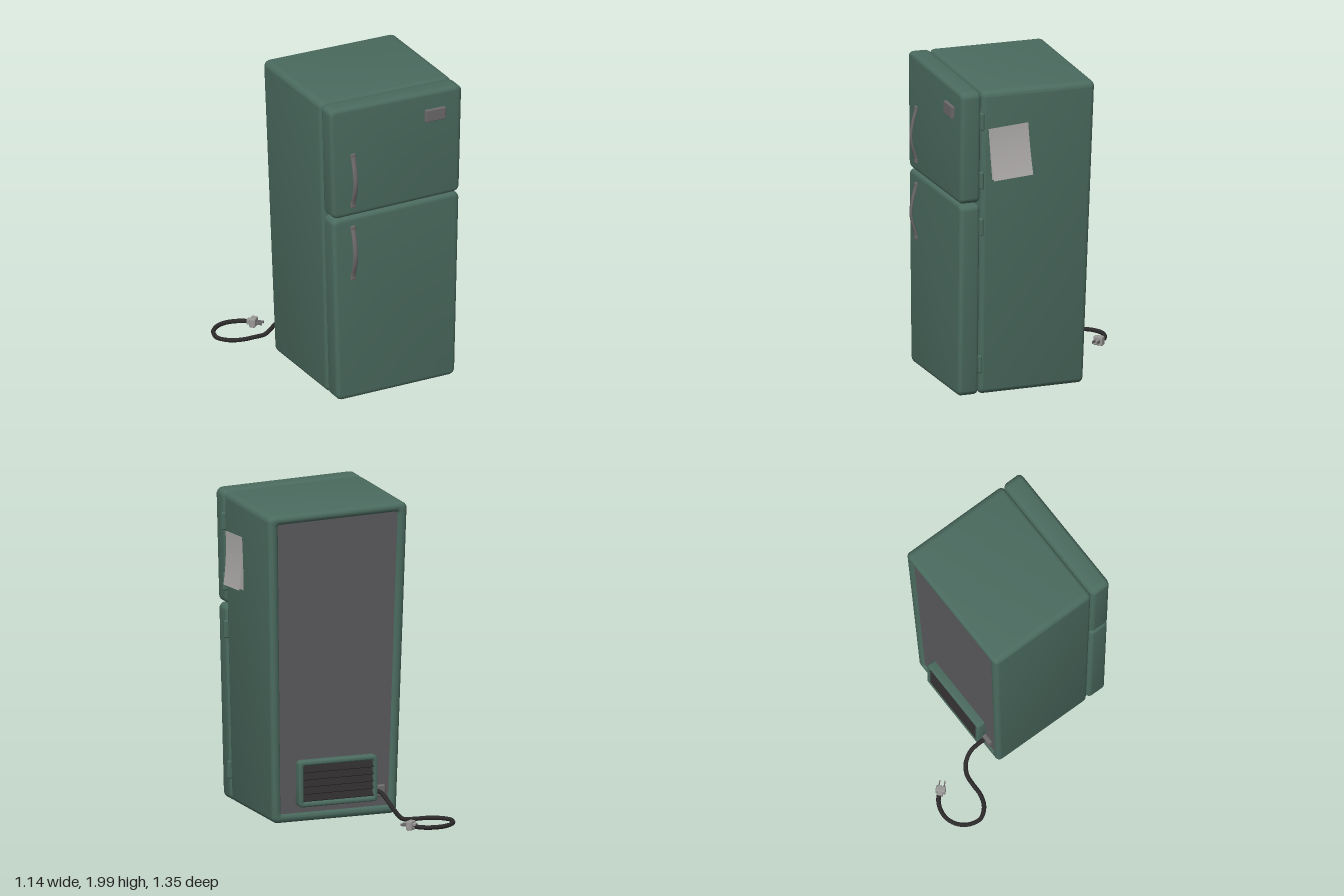
import * as THREE from 'three';
import { toCreasedNormals } from 'three/addons/utils/BufferGeometryUtils.js';
import { RoundedBoxGeometry } from 'three/addons/geometries/RoundedBoxGeometry.js';

const V = (x, y, z) => new THREE.Vector3(x, y, z);
const mat = (name, color, side = THREE.FrontSide) => {
  const m = new THREE.MeshStandardMaterial({ color, side });
  m.name = name;
  return m;
};

// Rounded rectangle path
function roundRect(path, x0, y0, x1, y1, r) {
  path.moveTo(x0 + r, y0);
  path.lineTo(x1 - r, y0);
  path.absarc(x1 - r, y0 + r, r, -Math.PI / 2, 0);
  path.lineTo(x1, y1 - r);
  path.absarc(x1 - r, y1 - r, r, 0, Math.PI / 2);
  path.lineTo(x0 + r, y1);
  path.absarc(x0 + r, y1 - r, r, Math.PI / 2, Math.PI);
  path.lineTo(x0, y0 + r);
  path.absarc(x0 + r, y0 + r, r, Math.PI, Math.PI * 1.5);
  return path;
}

// Soft-edged slab between z0 and z1, with an optional window cut through it
function slab(x0, y0, x1, y1, z0, z1, bevel, radius, inset = 0) {
  const shape = roundRect(new THREE.Shape(), x0, y0, x1, y1, radius);
  if (inset) {
    shape.holes.push(roundRect(new THREE.Path(), x0 + inset, y0 + inset, x1 - inset, y1 - inset, 0.008));
  }
  const geo = new THREE.ExtrudeGeometry(shape, {
    depth: z1 - z0 - 2 * bevel, bevelThickness: bevel, bevelSize: bevel,
    bevelOffset: -bevel, bevelSegments: 4, curveSegments: 4,
  });
  return geo.translate(0, 0, z0 + bevel);
}

// Lopsided cabinet: wider and deeper toward the top, with a sloping roof
function warp(geo) {
  const p = geo.attributes.position;
  for (let i = 0; i < p.count; i++) {
    const x = p.getX(i), y = p.getY(i), z = p.getZ(i);
    const t = (y - 0.02) / 1.98;
    const roof = Math.max(0, (y - 1.25) / 0.75);
    const u = x / 0.41;
    const back = Math.max(0, 0.49 - z);
    p.setXYZ(i, 0.08 + x + u * 0.05 * t,
      y - roof * (0.0125 * (u + 1) + 0.015 * (0.63 - z) / 0.88),
      z - back * 0.088 * t);
  }
  return geo;
}

export function createModel() {
  const group = new THREE.Group();
  const green = mat('green enamel', 0x4b6b5f);
  const grey = mat('back panel grey', 0x5c5b5e);
  const metal = mat('handle metal', 0x6d6a6b);
  const silver = mat('plug silver', 0x9a9797);
  const paper = mat('paper', 0xb2aeae, THREE.DoubleSide);
  const rubber = mat('black rubber', 0x2d2a2b);
  const dark = mat('vent shadow', 0x191819);

  const add = (name, geo, material, parent = group) => {
    const mesh = new THREE.Mesh(geo, material);
    mesh.name = name;
    parent.add(mesh);
    return mesh;
  };
  const smooth = (geo) => toCreasedNormals(geo, 0.5);

  // Cabinet shell with an open back, recessed panel and door seal
  add('cabinet', smooth(warp(slab(-0.41, 0.02, 0.41, 2, -0.19, 0.492, 0.028, 0.04, 0.06))), green);
  const panel = new THREE.BoxGeometry(0.74, 1.9, 0.02).translate(0, 1.01, -0.165);
  add('backPanel', smooth(warp(panel)), grey);
  const seal = new THREE.BoxGeometry(0.77, 1.93, 0.1).translate(0, 1.01, 0.47);
  add('doorSeal', smooth(warp(seal)), green);

  // Doors
  add('freezerDoor', smooth(warp(slab(-0.41, 1.258, 0.41, 2, 0.498, 0.63, 0.026, 0.04))), green);
  add('fridgeDoor', smooth(warp(slab(-0.41, 0.02, 0.41, 1.252, 0.498, 0.63, 0.026, 0.04))), green);

  // Bowed handles
  for (const [name, y] of [['freezerHandle', 1.5], ['fridgeHandle', 1.01]]) {
    const curve = new THREE.CatmullRomCurve3([
      V(0, 0.18, 0.628), V(0, 0.15, 0.637), V(0, 0.08, 0.656), V(0, 0, 0.667),
      V(0, -0.07, 0.659), V(0, -0.14, 0.638), V(0, -0.18, 0.63)]);
    const geo = new THREE.TubeGeometry(curve, 20, 0.008, 10);
    add(name, geo.scale(2.1, 1, 1), metal).position.set(-0.225, y, 0);
    for (const s of [1, -1]) {
      const foot = new RoundedBoxGeometry(0.034, 0.03, 0.018, 2, 0.006);
      add(name + 'Foot', foot, metal).position.set(-0.225, y + s * 0.168, 0.632);
    }
  }

  // Badge plate on the freezer door
  const badge = add('badge', new RoundedBoxGeometry(0.14, 0.08, 0.025, 2, 0.006), metal);
  badge.position.set(0.345, 1.823, 0.636);
  badge.rotation.z = -0.03;

  // Hinge barrels down the left side
  for (const y of [1.785, 1.405, 1.105, 0.22]) {
    const x = 0.492 + 0.05 * (y - 0.02) / 1.98;
    add('hinge', new RoundedBoxGeometry(0.034, 0.112, 0.024, 3, 0.01), green).position.set(x, y, 0.495);
  }

  // Notes on the side: one flat, one curling away at the bottom
  for (const [name, gap, curl] of [['backNote', 0.005, 0.008], ['frontNote', 0.01, 0.032]]) {
    const geo = new THREE.PlaneGeometry(0.258, 0.33, 1, 8);
    const p = geo.attributes.position;
    for (let i = 0; i < p.count; i++) {
      const v = 0.5 - p.getY(i) / 0.33;
      const y = 1.576 + p.getY(i) - p.getX(i) * -0.06;
      const z = 0.311 - p.getX(i) - 0.024 * (v - 0.5);
      p.setXYZ(i, 0.49 + 0.05 * (y - 0.02) / 1.98 + gap + curl * v * v, y, z);
    }
    geo.computeVertexNormals();
    add(name, geo, paper);
  }

  // Vent on the back
  const vent = new THREE.Group();
  vent.name = 'vent';
  group.add(vent);
  add('ventFrame', smooth(slab(-0.185, 0.12, 0.335, 0.41, -0.24, -0.165, 0.01, 0.025, 0.03)), green, vent);
  const well = add('ventWell', new THREE.BoxGeometry(0.47, 0.24, 0.02), dark, vent);
  well.position.set(0.075, 0.265, -0.2);
  for (let i = 0; i < 5; i++) {
    const slat = add('ventSlat', new THREE.BoxGeometry(0.465, 0.045, 0.008), rubber, vent);
    slat.position.set(0.075, 0.175 + i * 0.045, -0.222);
    slat.rotation.x = 0.6;
  }

  // Power cord with its socket
  const socket = add('cordSocket', new RoundedBoxGeometry(0.08, 0.075, 0.04, 2, 0.01), metal);
  socket.position.set(-0.21, 0.172, -0.185);
  const cord = new THREE.CatmullRomCurve3([
    V(-0.2, 0.173, -0.19), V(-0.2, 0.173, -0.25), V(-0.205, 0.155, -0.31), V(-0.23, 0.1, -0.365),
    V(-0.28, 0.035, -0.395), V(-0.35, 0.028, -0.402), V(-0.43, 0.028, -0.405), V(-0.5, 0.028, -0.43),
    V(-0.545, 0.028, -0.475), V(-0.558, 0.028, -0.51), V(-0.54, 0.028, -0.585), V(-0.49, 0.028, -0.64),
    V(-0.42, 0.028, -0.665), V(-0.34, 0.028, -0.652), V(-0.29, 0.03, -0.62), V(-0.262, 0.035, -0.585)]);
  add('powerCord', new THREE.TubeGeometry(cord, 60, 0.014, 8), rubber);

  // Plug with two prongs
  const plug = new THREE.Group();
  plug.name = 'plug';
  plug.position.set(-0.262, 0.035, -0.582);
  plug.rotation.y = 0.75;
  group.add(plug);
  add('plugBody', new RoundedBoxGeometry(0.062, 0.058, 0.04, 2, 0.008), silver, plug);
  add('plugCollar', new RoundedBoxGeometry(0.036, 0.036, 0.03, 2, 0.006), silver, plug).position.z = -0.025;
  for (const x of [-0.016, 0.016]) {
    add('prong', new THREE.BoxGeometry(0.006, 0.016, 0.045), metal, plug).position.set(x, 0, 0.038);
  }
  return group;
}
